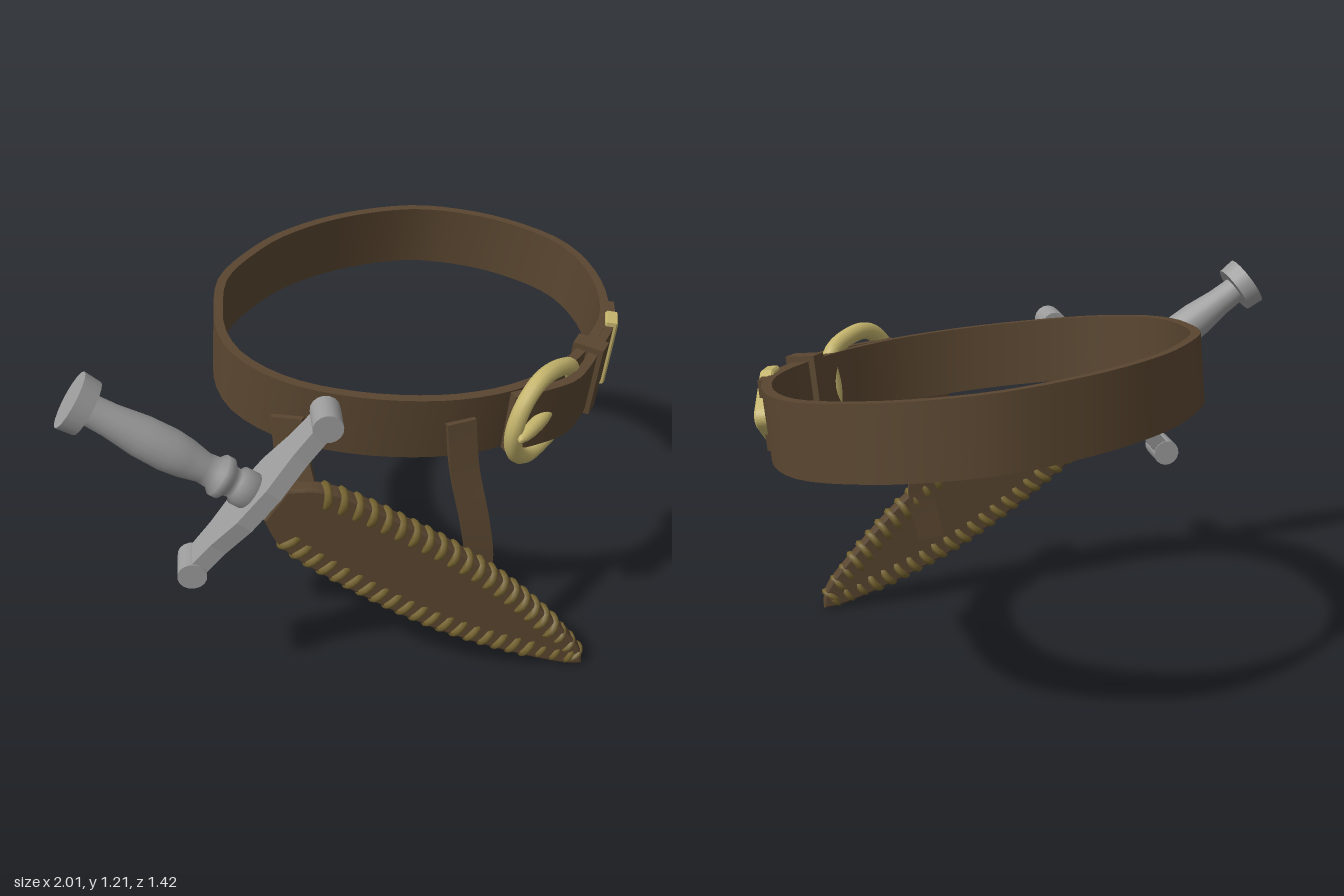
import * as THREE from 'three';

const V = (x, y, z) => new THREE.Vector3(x, y, z);
const mat = (name, color) => {
  const m = new THREE.MeshStandardMaterial({ color });
  m.name = name;
  return m;
};

// Flat strip with a rectangular section swept along a curve; widths are blended from w0 to w1
function ribbon(points, { closed = false, n = 24, width, thick, w0 = V(0, 1, 0), w1 = w0 }) {
  const curve = new THREE.CatmullRomCurve3(points, closed, 'centripetal');
  const rings = [];
  for (let i = 0; i <= n; i++) {
    const p = curve.getPointAt(i / n), t = curve.getTangentAt(i / n);
    const w = w0.clone().lerp(w1, i / n).addScaledVector(t, -w0.clone().lerp(w1, i / n).dot(t)).normalize();
    const nor = t.clone().cross(w);
    rings.push([[1, -1], [1, 1], [-1, 1], [-1, -1]].map(([a, b]) =>
      p.clone().addScaledVector(nor, a * thick / 2).addScaledVector(w, b * width / 2)));
  }
  const pos = [], idx = [];
  const add = (v) => pos.push(v.x, v.y, v.z) / 3 - 1;
  for (let s = 0; s < 4; s++) {
    const base = pos.length / 3;
    rings.forEach((r) => { add(r[s]); add(r[(s + 1) % 4]); });
    for (let i = 0; i < n; i++) {
      const a = base + i * 2;
      idx.push(a, a + 2, a + 3, a, a + 3, a + 1);
    }
  }
  if (!closed) {
    for (const ring of [rings[0], [...rings[n]].reverse()]) {
      const [a, b, c, d] = ring.map(add);
      idx.push(a, b, c, a, c, d);
    }
  }
  const g = new THREE.BufferGeometry();
  g.setAttribute('position', new THREE.Float32BufferAttribute(pos, 3));
  g.setIndex(idx);
  g.computeVertexNormals();
  return g;
}

export function createModel() {
  const leather = mat('brown leather', 0x5a4630);
  const brass = mat('brass', 0xc4b46c);
  const steel = mat('steel', 0x9c9c9c);
  const lacing = mat('lacing', 0x74622f);

  const model = new THREE.Group();
  const part = (parent, name, geometry, material, x = 0, y = 0, z = 0) => {
    const m = new THREE.Mesh(geometry, material);
    m.name = name;
    m.position.set(x, y, z);
    parent.add(m);
    return m;
  };

  // Belt: tilted ring, lower at the front
  const belt = new THREE.Group();
  belt.name = 'belt';
  belt.position.y = 0.985;
  belt.rotation.x = 0.13;
  model.add(belt);

  const loop = [[0.4, 0.425], [0.56, 0.385], [0.74, 0.3], [0.86, 0.18], [0.95, 0.01], [0.975, -0.15],
    [0.915, -0.34], [0.82, -0.48], [0.67, -0.605], [0.4, -0.685], [0.15, -0.685], [0, -0.645],
    [-0.19, -0.55], [-0.31, -0.4], [-0.37, -0.29], [-0.395, -0.15], [-0.345, 0.03], [-0.21, 0.2],
    [-0.02, 0.34], [0.14, 0.405], [0.25, 0.425]].map(([x, z]) => V(x, 0, z));
  part(belt, 'belt loop', ribbon(loop, { closed: true, n: 64, width: 0.215, thick: 0.03 }), leather);

  const flap = [[0.19, 0.45], [0.3, 0.475], [0.41, 0.485], [0.5, 0.455], [0.6, 0.405],
    [0.75, 0.325], [0.84, 0.235]].map(([x, z]) => V(x, 0, z));
  part(belt, 'belt flap', ribbon(flap, { width: 0.212, thick: 0.03 }), leather);

  const keeper = part(belt, 'belt keeper', new THREE.BoxGeometry(0.06, 0.25, 0.1), leather, 0.58, 0, 0.395);
  keeper.rotation.y = 0.45;

  // Brass belt tip
  const tipShape = new THREE.Shape();
  tipShape.moveTo(-0.1, -0.115);
  tipShape.lineTo(-0.035, -0.115);
  tipShape.lineTo(0.085, -0.025);
  tipShape.quadraticCurveTo(0.11, 0, 0.085, 0.025);
  tipShape.lineTo(-0.035, 0.115);
  tipShape.lineTo(-0.1, 0.115);
  const tipGeo = new THREE.ExtrudeGeometry(tipShape, {
    depth: 0.03, bevelThickness: 0.006, bevelSize: 0.006, bevelSegments: 1,
  }).translate(0, 0, -0.015);
  part(belt, 'belt tip', tipGeo, brass, 0.805, 0, 0.277).rotation.y = 0.75;

  // Buckle frame and prong
  const buckle = new THREE.Group();
  buckle.name = 'buckle';
  buckle.position.set(0.315, 0, 0.465);
  buckle.rotation.y = 0.22;
  belt.add(buckle);
  const half = [[-0.12, 0.09], [-0.05, 0.142], [0.04, 0.142], [0.14, 0.1]];
  const frame = new THREE.CatmullRomCurve3([
    V(-0.15, 0, 0), ...half.map(([u, v]) => V(u, v, 0)), V(0.16, 0, -0.01),
    ...[...half].reverse().map(([u, v]) => V(u, -v, 0)),
  ], true);
  part(buckle, 'buckle frame', new THREE.TubeGeometry(frame, 48, 0.028, 10, true), brass);
  const prong = part(buckle, 'buckle prong', new THREE.SphereGeometry(1, 16, 10), brass, -0.065, 0, 0.025);
  prong.scale.set(0.112, 0.024, 0.024);
  prong.rotation.y = 0.1;

  // Hanger straps from the belt to the back of the sheath
  const along = V(0.85, 0, 0.53);
  part(model, 'front hanger strap', ribbon(
    [V(0.04, 0.965, 0.395), V(0.045, 0.8, 0.415), V(0.07, 0.6, 0.45), V(0.085, 0.45, 0.46), V(0.065, 0.27, 0.435)],
    { width: 0.092, thick: 0.02, w0: V(0.93, 0, 0.36), w1: along }), leather);
  part(model, 'rear hanger strap', ribbon(
    [V(-0.36, 0.97, 0.055), V(-0.357, 0.85, 0.068), V(-0.36, 0.7, 0.115), V(-0.37, 0.56, 0.165)],
    { width: 0.105, thick: 0.02, w0: V(0.52, 0, 0.85), w1: along }), leather);

  // Dagger: local x runs to the point, y across the blade, z through its flat
  const dagger = new THREE.Group();
  dagger.name = 'dagger';
  dagger.position.set(-0.52, 0.785, 0.115);
  dagger.rotation.set(0, -0.56, -0.623, 'YXZ');
  model.add(dagger);

  const grip = [[0, 0], [0.06, 0], [0.06, 0.07], [0.046, 0.08], [0.048, 0.1], [0.066, 0.115], [0.066, 0.14],
    [0.05, 0.155], [0.047, 0.19], [0.06, 0.25], [0.066, 0.31], [0.063, 0.4], [0.05, 0.5], [0.046, 0.59]];
  part(dagger, 'grip', new THREE.LatheGeometry(grip.map(([r, h]) => new THREE.Vector2(r, h)), 18)
    .rotateZ(Math.PI / 2), steel);
  part(dagger, 'pommel', new THREE.CylinderGeometry(0.09, 0.085, 0.055, 18).rotateZ(Math.PI / 2), steel, -0.6);
  part(dagger, 'blade shoulder', new THREE.BoxGeometry(0.14, 0.11, 0.045), steel, 0.06);

  // Crossguard: tapered plate with a round knob at each end
  const guard = new THREE.Group();
  guard.name = 'crossguard';
  guard.rotation.z = -0.08;
  dagger.add(guard);
  const plate = new THREE.Shape([[-0.05, -0.33], [0.05, -0.33], [0.06, -0.2], [0.09, -0.07], [0.09, 0.07],
    [0.06, 0.2], [0.05, 0.33], [-0.05, 0.33], [-0.06, 0.2], [-0.09, 0.07], [-0.09, -0.07], [-0.06, -0.2]]
    .map(([a, b]) => new THREE.Vector2(a, b)));
  part(guard, 'guard plate', new THREE.ExtrudeGeometry(plate, { depth: 0.055, bevelEnabled: false })
    .translate(0, 0, -0.0275).rotateY(Math.PI / 2), steel);
  for (const s of [-1, 1]) {
    part(guard, 'guard knob', new THREE.CylinderGeometry(0.046, 0.046, 0.115, 16).rotateX(Math.PI / 2),
      steel, 0, s * 0.33);
  }

  // Sheath body
  const edge = (s) => new THREE.CatmullRomCurve3([[0.065, 0.06], [0.16, 0.115], [0.44, 0.142], [0.78, 0.135],
    [1.07, 0.085], [1.26, 0.03], [1.3, 0]].map(([x, y]) => V(x, s * y + (y ? 0.008 : 0), 0)));
  const top = edge(1), bottom = edge(-1);
  const outline = [...top.getPoints(36), ...bottom.getPoints(36).reverse().slice(1)];
  const sheathGeo = new THREE.ExtrudeGeometry(new THREE.Shape(outline.map((p) => new THREE.Vector2(p.x, p.y))), {
    depth: 0.036, bevelThickness: 0.01, bevelSize: 0.008, bevelSegments: 2,
  }).translate(0, 0, -0.018);
  part(dagger, 'sheath', sheathGeo, leather);

  // Lacing wrapped around both sheath edges
  const wrap = new THREE.TorusGeometry(0.034, 0.0135, 6, 14).rotateY(Math.PI / 2);
  const count = 22;
  [[top, 1], [bottom, -1]].forEach(([curve, s]) => {
    for (let i = 0; i < count; i++) {
      const u = 0.1 + 0.86 * i / (count - 1);
      const p = curve.getPointAt(u), t = curve.getTangentAt(u);
      const stitch = part(dagger, 'sheath lacing', wrap, lacing, p.x, p.y - s * 0.024, 0);
      stitch.rotation.set(0, 0.2 * s, Math.atan2(t.y, t.x) + 0.25 * s);
      stitch.scale.setScalar(i > count - 4 ? 0.85 : 1);
    }
  });

  return model;
}
